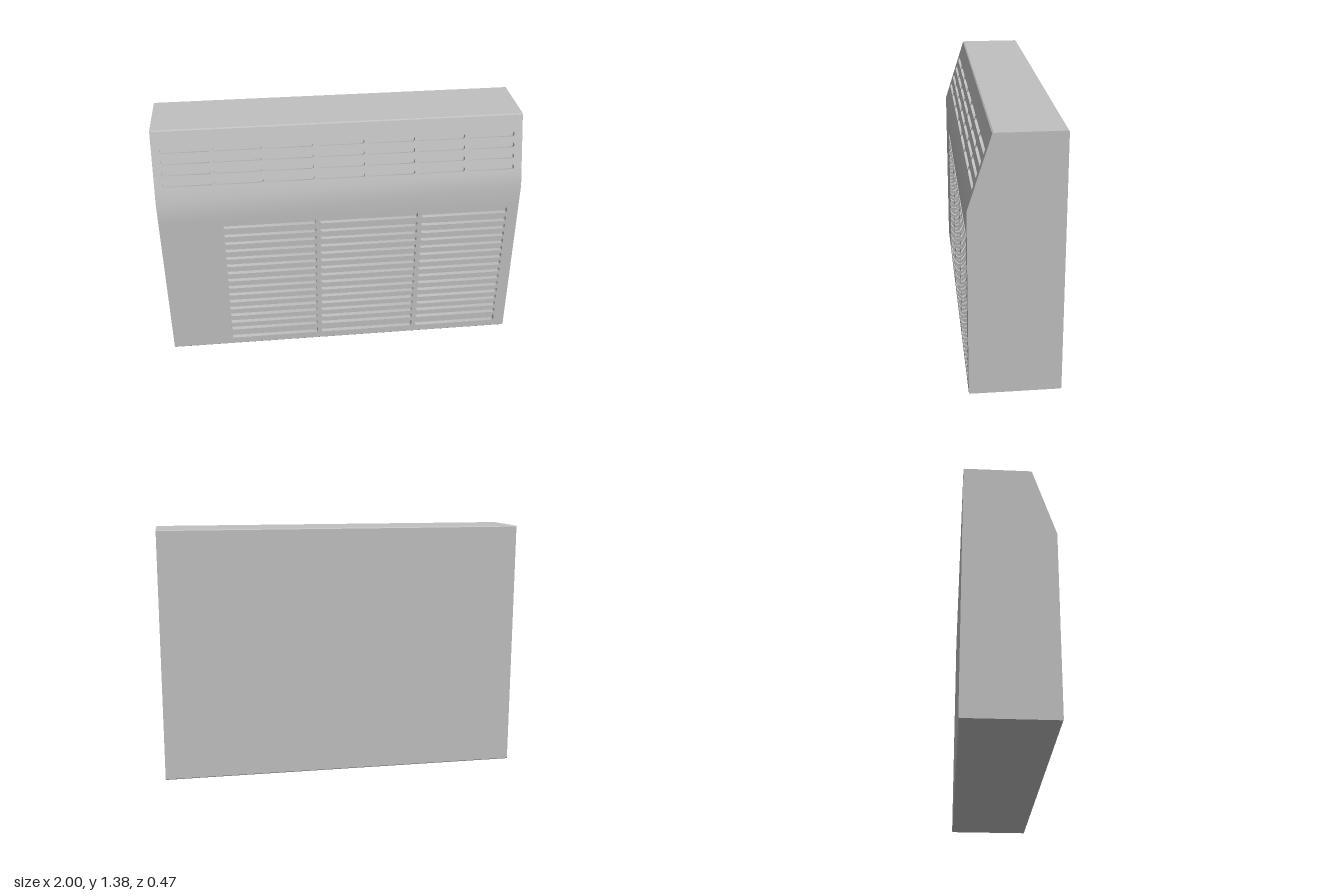
import * as THREE from 'three';
import { toCreasedNormals } from 'three/addons/utils/BufferGeometryUtils.js';

const FRONT = 0.237, HEIGHT = 1.38, BEND = 1.0, TOP_FRONT = 0.115;
const DEPTH = 0.025; // depth of the slots
const SLOPE = Math.atan2(FRONT - TOP_FRONT, HEIGHT - BEND);
const SIN = Math.sin(SLOPE), COS = Math.cos(SLOPE);

// Point on the sloped face: s along the slope, d inward
const onSlope = (s, d) => [FRONT - s * SIN - d * COS, BEND + s * COS - d * SIN];

// Rounded slot outline
function slot(x0, x1, yc, h, r) {
  const p = new THREE.Path(), y0 = yc - h / 2, y1 = yc + h / 2;
  p.absarc(x1 - r, y0 + r, r, -Math.PI / 2, 0);
  p.absarc(x1 - r, y1 - r, r, 0, Math.PI / 2);
  p.absarc(x0 + r, y1 - r, r, Math.PI / 2, Math.PI);
  p.absarc(x0 + r, y0 + r, r, Math.PI, Math.PI * 1.5);
  p.closePath();
  return p;
}

// Full-width slotted panel whose outer face lies at z = 0
function panel(y0, y1, slots) {
  const s = new THREE.Shape([[-1, y0], [1, y0], [1, y1], [-1, y1]].map(p => new THREE.Vector2(...p)));
  s.holes.push(...slots);
  const g = new THREE.ExtrudeGeometry(s, { depth: DEPTH, bevelEnabled: false, curveSegments: 4 });
  g.translate(0, 0, -DEPTH);
  return toCreasedNormals(g, 0.6);
}

export function createModel() {
  const model = new THREE.Group();
  model.name = 'ventedHeaterCover';
  const grey = new THREE.MeshStandardMaterial({ color: 0xc0c0c0 });
  grey.name = 'light grey';
  const add = (name, geometry) => {
    const m = new THREE.Mesh(geometry, grey);
    m.name = name;
    model.add(m);
    return m;
  };

  // Casing: side profile with two recesses for the slotted panels
  const c = 0.005, low = 0.02, high = 0.88, s0 = 0.08, s1 = 0.32;
  const profile = [
    [-FRONT + c, 0], [FRONT - c, 0], [FRONT, c],
    [FRONT, low], [FRONT - DEPTH, low], [FRONT - DEPTH, high], [FRONT, high],
    [FRONT, BEND],
    onSlope(s0, 0), onSlope(s0, DEPTH), onSlope(s1, DEPTH), onSlope(s1, 0),
    [TOP_FRONT + c * SIN, HEIGHT - c * COS], [TOP_FRONT - c, HEIGHT],
    [-FRONT + c, HEIGHT], [-FRONT, HEIGHT - c], [-FRONT, c],
  ];
  const casing = new THREE.ExtrudeGeometry(
    new THREE.Shape(profile.map(p => new THREE.Vector2(...p))), { depth: 2, bevelEnabled: false });
  casing.translate(0, 0, -1);
  casing.rotateY(-Math.PI / 2);
  add('casing', toCreasedNormals(casing, 0.4)); // the shallow front bend shades smoothly

  // Intake grille: three columns, taller first and last rows
  const intake = [];
  for (const [x0, x1] of [[-0.655, -0.143], [-0.12, 0.427], [0.45, 0.937]]) {
    intake.push(slot(x0, x1, 0.843, 0.038, 0.014), slot(x0, x1, 0.068, 0.046, 0.014));
    for (let i = 0; i < 14; i++) intake.push(slot(x0, x1, 0.123 + i * 0.0509, 0.032, 0.014));
  }
  add('intakeGrille', panel(low, high, intake)).position.z = FRONT;

  // Outlet grille on the slope: seven columns of four slots
  const outlet = [];
  for (let col = 0; col < 7; col++) {
    const x = (col - 3) * 0.2755;
    for (let row = 0; row < 4; row++) {
      outlet.push(slot(x - 0.13, x + 0.13, (0.102 + row * 0.0578) / COS, 0.026, 0.0125));
    }
  }
  const vent = add('outletGrille', panel(s0, s1, outlet));
  vent.position.set(0, BEND, FRONT);
  vent.rotation.x = -SLOPE;

  return model;
}
